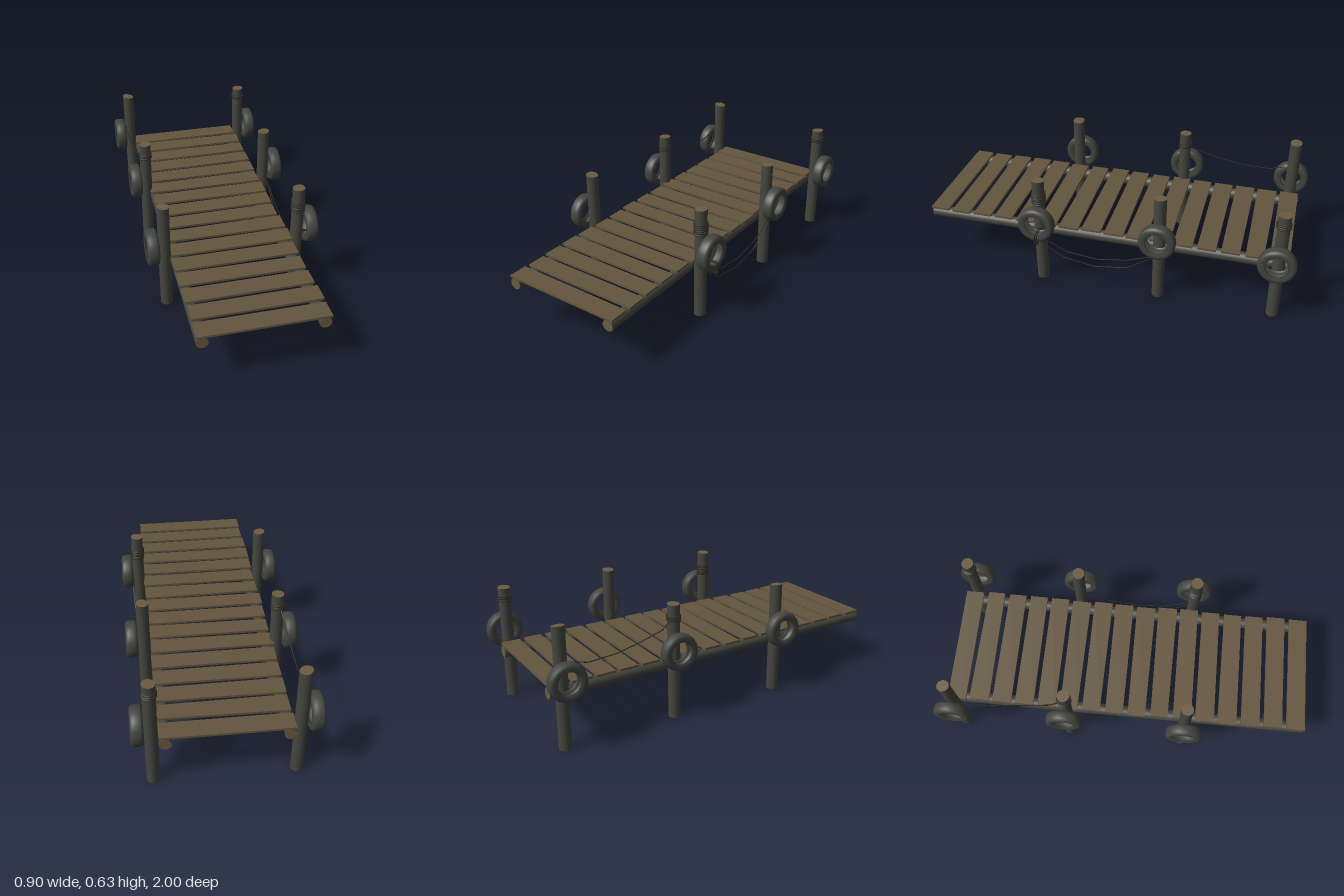
import * as THREE from 'three';

const mat = (name, color, side = THREE.FrontSide) => {
  const m = new THREE.MeshStandardMaterial({ color, side });
  m.name = name;
  return m;
};

export function createModel() {
  const group = new THREE.Group();
  group.name = 'jetty';
  const plankWood = mat('plank wood', 0x64563f);
  const cutWood = mat('cut wood', 0x6b5b43);
  const bark = mat('weathered bark', 0x45463f);
  const rubber = mat('tyre rubber', 0x434540, THREE.DoubleSide);
  const rope = mat('dark rope', 0x2f2b25);

  let seed = 7;
  const rand = () => {
    seed = (seed * 16807) % 2147483647;
    return seed / 2147483647 - 0.5;
  };
  const add = (name, geo, material, parent = group) => {
    const mesh = new THREE.Mesh(geo, material);
    mesh.name = name;
    parent.add(mesh);
    return mesh;
  };

  // Deck planks, each slightly tapered and shifted
  for (let i = 0; i < 16; i++) {
    const geo = new THREE.BoxGeometry(0.645, 0.012, 0.1);
    const p = geo.attributes.position;
    const ends = i === 0 || i === 15;
    const taper = ends ? 0 : rand() * 0.016;
    for (let v = 0; v < p.count; v++) {
      p.setZ(v, p.getZ(v) + Math.sign(p.getZ(v)) * Math.sign(p.getX(v)) * taper / 2);
    }
    geo.computeVertexNormals();
    const plank = add('plank', geo, plankWood);
    plank.position.set(-0.008 + (ends ? 0 : rand() * 0.014), 0.316, -0.905 + i * 0.1237);
    plank.rotation.y = ends ? 0 : rand() * 0.012;
  }

  // Two round beams under the deck
  for (const x of [-0.303, 0.285]) {
    const beam = add('beam', new THREE.CylinderGeometry(0.03, 0.03, 1.955, 20), [bark, cutWood, cutWood]);
    beam.rotation.x = Math.PI / 2;
    beam.position.set(x, 0.28, 0.02);
  }

  // Post with a slanted top; lean moves the top sideways
  const addPost = ({ x, z, h, slant, lean }) => {
    const geo = new THREE.CylinderGeometry(0.032, 0.032, h, 20);
    geo.translate(0, h / 2, 0);
    const p = geo.attributes.position;
    for (let v = 0; v < p.count; v++) {
      if (p.getY(v) > h / 2) {
        p.setY(v, h + p.getX(v) * slant);
        p.setX(v, p.getX(v) + lean);
      }
    }
    add('post', geo, [bark, cutWood, cutWood]).position.set(x, 0, z);
  };

  // Hollow tyre, open towards its hole
  const tyreProfile = [
    [0.07, -0.022], [0.056, -0.024], [0.062, -0.03], [0.08, -0.031], [0.092, -0.027],
    [0.096, -0.016], [0.097, 0], [0.096, 0.016], [0.092, 0.027], [0.08, 0.031],
    [0.062, 0.03], [0.056, 0.024], [0.07, 0.022], [0.084, 0.018], [0.084, -0.018], [0.07, -0.022],
  ].map(([r, y]) => new THREE.Vector2(r, y));
  const tyreGeo = new THREE.LatheGeometry(tyreProfile, 32);
  tyreGeo.rotateZ(Math.PI / 2);

  const posts = [
    { x: 0.348, z: 0.35, h: 0.614, slant: 0.06, lean: 0, ty: 0.385, tx: 0.411, tz: 0.347 },
    { x: 0.347, z: -0.295, h: 0.61, slant: 0.08, lean: 0, ty: 0.387, tx: 0.409, tz: -0.295 },
    { x: 0.348, z: -0.903, h: 0.613, slant: 0.06, lean: 0, ty: 0.36, tx: 0.411, tz: -0.897 },
    { x: -0.358, z: 0.347, h: 0.604, slant: -0.12, lean: 0, ty: 0.368, tx: -0.422, tz: 0.347 },
    { x: -0.355, z: -0.292, h: 0.612, slant: 0.05, lean: 0.007, ty: 0.38, tx: -0.413, tz: -0.298 },
    { x: -0.358, z: -0.907, h: 0.628, slant: -0.16, lean: 0, ty: 0.372, tx: -0.421, tz: -0.903 },
  ];
  for (const post of posts) {
    addPost(post);
    const tyre = add('tyre', tyreGeo, rubber);
    tyre.position.set(post.tx, post.ty, post.tz);
    tyre.rotation.y = rand() * 0.04;
  }

  // Rope coils round three posts
  const addCoil = (x, z, y0, turns) => {
    for (let i = 0; i < turns; i++) {
      const ring = add('ropeCoil', new THREE.TorusGeometry(0.0345, 0.004, 6, 20), rope);
      ring.position.set(x, y0 + i * 0.011, z);
      ring.rotation.set(Math.PI / 2 + rand() * 0.12, rand() * 0.16, 0);
    }
  };
  addCoil(0.348, 0.35, 0.482, 6);
  addCoil(0.348, -0.903, 0.545, 3);
  addCoil(-0.35, -0.292, 0.53, 3);

  // Slack ropes made of straight lengths
  const addRope = (name, points, closed = false) => {
    const path = new THREE.CurvePath();
    const pts = points.map((p) => new THREE.Vector3(...p));
    if (closed) pts.push(pts[0]);
    for (let i = 1; i < pts.length; i++) path.add(new THREE.LineCurve3(pts[i - 1], pts[i]));
    add(name, new THREE.TubeGeometry(path, 40, 0.003, 5), rope);
  };
  addRope('upperSlackRope', [
    [0.385, 0.285, 0.34], [0.38, 0.21, 0.2], [0.38, 0.19, 0.03], [0.38, 0.215, -0.13], [0.38, 0.27, -0.28],
  ]);
  addRope('lowerSlackRope', [
    [0.385, 0.255, 0.34], [0.38, 0.17, 0.22], [0.38, 0.139, 0.05], [0.38, 0.165, -0.13], [0.38, 0.265, -0.28],
  ]);
  addRope('sideRope', [
    [-0.362, 0.535, -0.315], [-0.37, 0.495, -0.37], [-0.375, 0.46, -0.5],
    [-0.381, 0.435, -0.63], [-0.387, 0.428, -0.78], [-0.389, 0.45, -0.86],
  ]);

  // Rope loops tied round the lower edge of the front tyre, with a loose end
  for (const z of [0.338, 0.348]) {
    addRope('tyreLoop', [
      [0.376, 0.28, z], [0.447, 0.278, z], [0.447, 0.335, z], [0.376, 0.338, z],
    ], true);
  }
  addRope('ropeEnd', [[0.445, 0.32, 0.352], [0.449, 0.29, 0.354], [0.446, 0.262, 0.352]]);

  return group;
}
